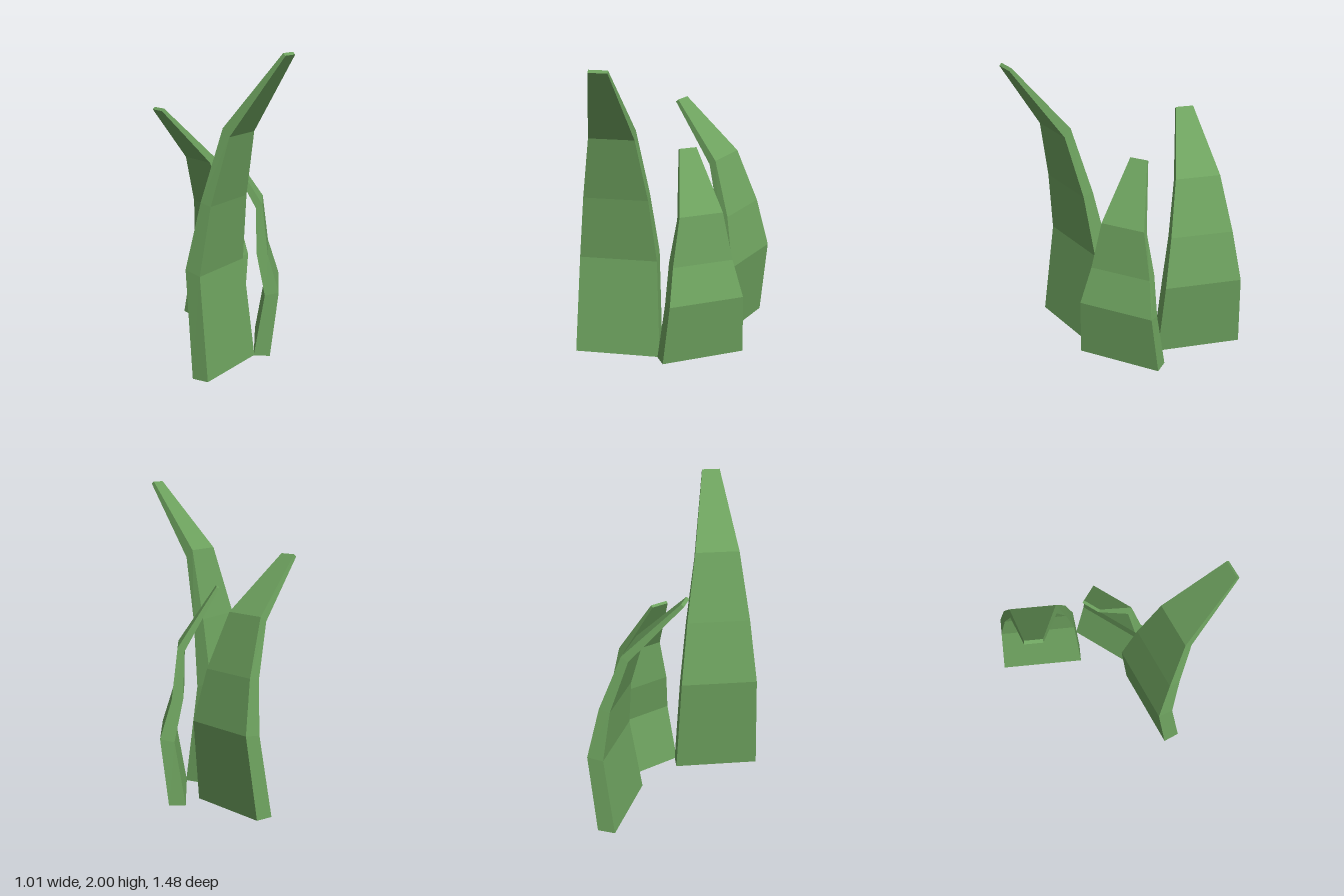
import * as THREE from 'three';

const leafMaterial = new THREE.MeshStandardMaterial({ color: 0x6ea35f, flatShading: true });

// One faceted blade that bends towards its local +z.
// Each row: [width, outer z, outer y, inner z, inner y]
function makeBlade(name, x, z, degrees, rows) {
  const positions = [];
  for (const [w, outerZ, outerY, innerZ, innerY] of rows) {
    const h = w / 2;
    positions.push(-h, outerY, outerZ, -h, innerY, innerZ, h, innerY, innerZ, h, outerY, outerZ);
  }

  // Sides between neighbouring cross-sections, then both end caps
  const index = [];
  for (let i = 0; i < rows.length - 1; i++) {
    for (let j = 0; j < 4; j++) {
      const a = i * 4 + j;
      const b = i * 4 + ((j + 1) % 4);
      index.push(a, b, b + 4, a, b + 4, a + 4);
    }
  }
  const t = (rows.length - 1) * 4;
  index.push(t, t + 1, t + 2, t, t + 2, t + 3);
  index.push(2, 1, 0, 3, 2, 0);

  const indexed = new THREE.BufferGeometry();
  indexed.setAttribute('position', new THREE.Float32BufferAttribute(positions, 3));
  indexed.setIndex(index);
  const geometry = indexed.toNonIndexed();
  geometry.computeVertexNormals();

  const blade = new THREE.Mesh(geometry, leafMaterial);
  blade.name = name;
  blade.position.set(x, 0, z);
  blade.rotation.y = THREE.MathUtils.degToRad(degrees);
  return blade;
}

export function createModel() {
  const plant = new THREE.Group();
  plant.name = 'grassTuft';

  // Tall blade bending to the front
  plant.add(makeBlade('tallBlade', -0.24, 0.26, 23, [
    [0.565, 0, 0, 0.11, 0],
    [0.51, -0.066, 0.68, 0.037, 0.65],
    [0.42, 0.017, 1.1, 0.088, 1.08],
    [0.292, 0.133, 1.55, 0.179, 1.5],
    [0.117, 0.486, 2.0, 0.502, 1.985],
  ]));

  // Short blade bending to the back right
  plant.add(makeBlade('shortBlade', 0.3075, 0.1, 232.3, [
    [0.565, 0, 0, 0.105, 0],
    [0.506, -0.054, 0.42, 0.036, 0.4],
    [0.41, 0.019, 0.66, 0.092, 0.67],
    [0.295, 0.056, 0.98, 0.098, 0.955],
    [0.117, 0.301, 1.355, 0.317, 1.345],
  ]));

  // Middle blade at the back, bending to the right
  plant.add(makeBlade('middleBlade', 0.28, -0.456, -90, [
    [0.565, 0, 0.02, 0.115, 0.02],
    [0.507, -0.065, 0.54, 0.04, 0.53],
    [0.41, 0.005, 0.87, 0.075, 0.855],
    [0.295, 0.135, 1.22, 0.18, 1.19],
    [0.115, 0.482, 1.57, 0.5, 1.555],
  ]));

  return plant;
}
